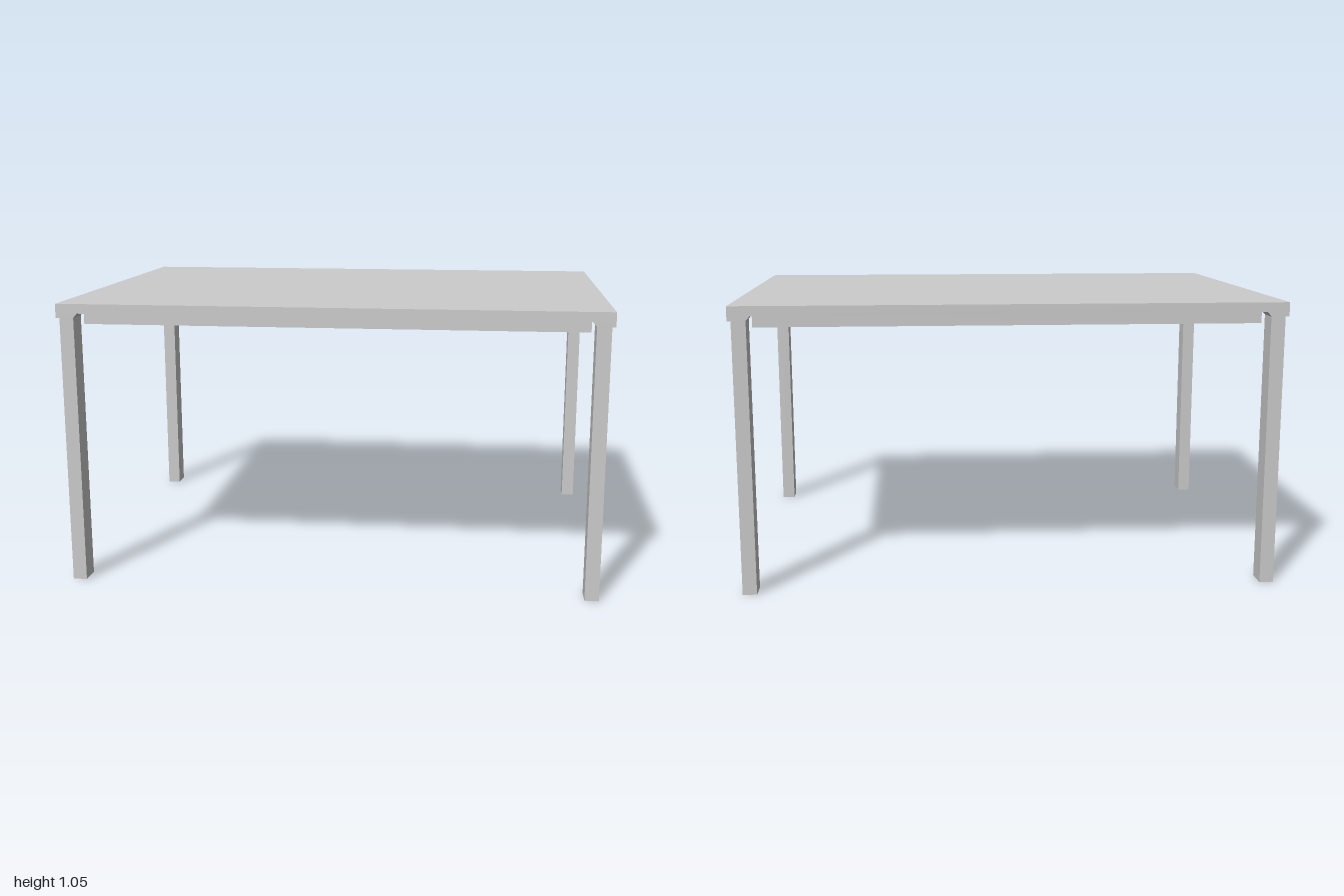
import * as THREE from 'three';

const material = new THREE.MeshStandardMaterial({ color: 0xcccccc, flatShading: true });

// Box given by its minimum and maximum corners
function box(name, [x0, y0, z0], [x1, y1, z1]) {
  const geometry = new THREE.BoxGeometry(x1 - x0, y1 - y0, z1 - z0);
  geometry.translate((x0 + x1) / 2, (y0 + y1) / 2, (z0 + z1) / 2);
  const mesh = new THREE.Mesh(geometry, material);
  mesh.name = name;
  return mesh;
}

const HX = 1, HZ = 0.718;              // half size of the table top
const TOP = 1.055, UNDER = 1.02;       // top and underside of the slab
const LEG_TOP = 1.003, RAIL_BOTTOM = 0.97;

// Corner block whose inner sides slope in towards the leg at the bottom
function cornerBlock(sx, sz) {
  const xs = [0.92 * sx, HX * sx].sort((a, b) => a - b);
  const zs = [0.625 * sz, HZ * sz].sort((a, b) => a - b);
  const mesh = box('cornerBlock', [xs[0], LEG_TOP, zs[0]], [xs[1], UNDER, zs[1]]);
  const p = mesh.geometry.attributes.position;
  for (let i = 0; i < p.count; i++) {
    if (p.getY(i) > LEG_TOP + 0.005) continue;
    if (Math.abs(p.getX(i)) < 0.95) p.setX(i, 0.935 * sx);
    if (Math.abs(p.getZ(i)) < 0.65) p.setZ(i, 0.635 * sz);
  }
  mesh.geometry.computeVertexNormals();
  return mesh;
}

// Rectangular rail frame under the top
function railFrame() {
  const rect = (path, x, z) => path.moveTo(-x, -z).lineTo(x, -z).lineTo(x, z).lineTo(-x, z).closePath();
  const shape = rect(new THREE.Shape(), 0.925, 0.63);
  shape.holes.push(rect(new THREE.Path(), 0.85, 0.5));
  const geometry = new THREE.ExtrudeGeometry(shape, { depth: UNDER - RAIL_BOTTOM, bevelEnabled: false });
  geometry.rotateX(-Math.PI / 2).translate(0, RAIL_BOTTOM, 0);
  const mesh = new THREE.Mesh(geometry, material);
  mesh.name = 'railFrame';
  return mesh;
}

export function createModel() {
  const table = new THREE.Group();
  table.name = 'table';
  table.add(box('tableTop', [-HX, UNDER, -HZ], [HX, TOP, HZ]));
  table.add(railFrame());

  // Legs with their corner blocks
  for (const sx of [-1, 1]) {
    for (const sz of [-1, 1]) {
      const corner = new THREE.Group();
      corner.name = (sz > 0 ? 'front' : 'back') + (sx > 0 ? 'Left' : 'Right') + 'Leg';
      const cx = 0.961 * sx, cz = 0.675 * sz;
      corner.add(box('leg', [cx - 0.026, 0, cz - 0.04], [cx + 0.026, LEG_TOP, cz + 0.04]));
      corner.add(cornerBlock(sx, sz));
      table.add(corner);
    }
  }
  return table;
}
